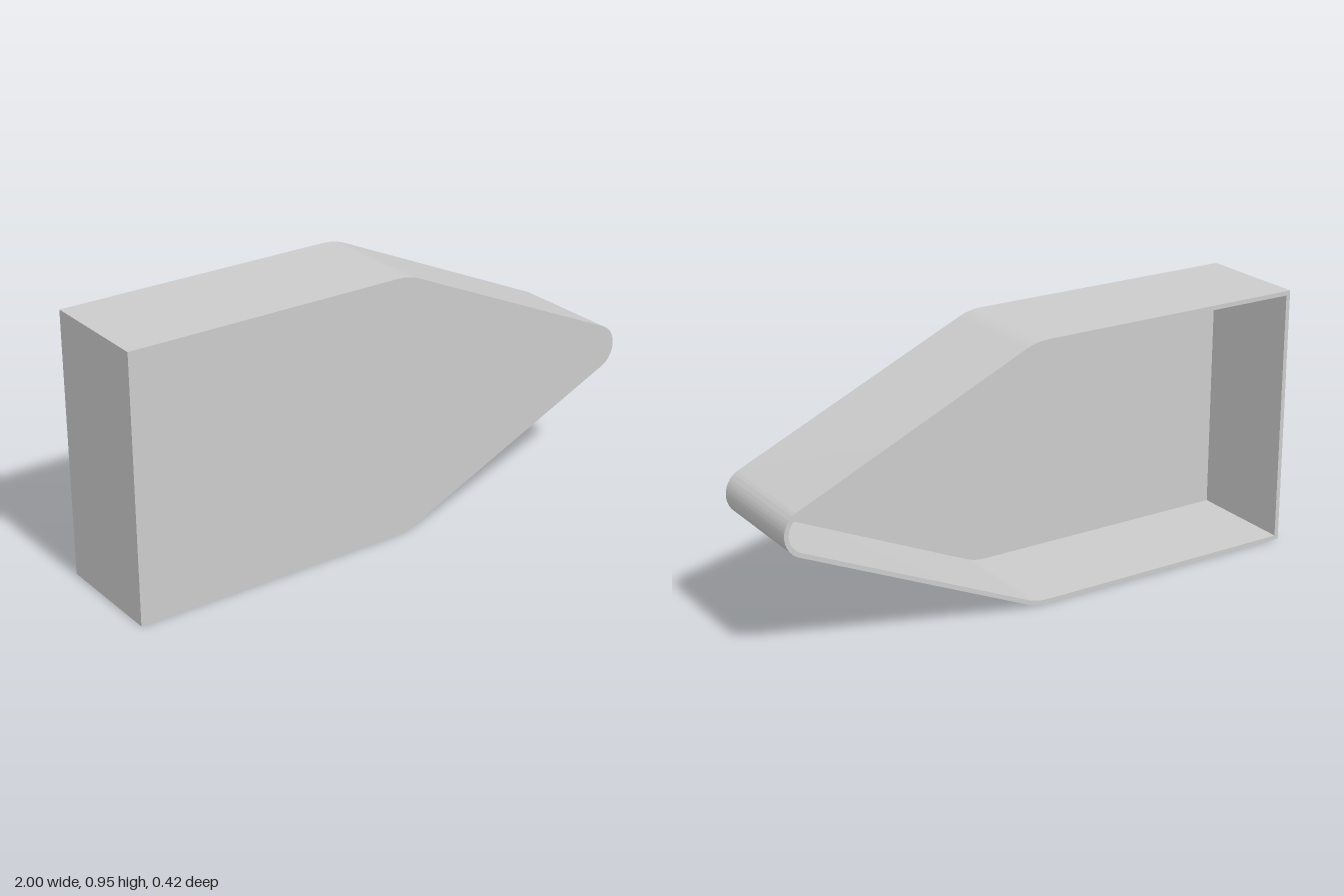
import * as THREE from 'three';
import { toCreasedNormals } from 'three/addons/utils/BufferGeometryUtils.js';

const HEIGHT = 0.95, HALF_DEPTH = 0.21, WALL = 0.016;
const SHOULDER_R = 0.22, SHOULDER_X = 0.017, TIP_R = 0.085;

// Counter-clockwise outline of the pointed casing, moved inwards by inset
function outline(inset) {
  const tipX = 1 - TIP_R, dx = tipX - SHOULDER_X, dy = HEIGHT / 2 - SHOULDER_R;
  // Slope of the straight edge tangent to the shoulder and the tip
  const slope = Math.atan2(dy, dx) + Math.asin((SHOULDER_R - TIP_R) / Math.hypot(dx, dy));
  const q = Math.PI / 2;
  const points = [new THREE.Vector2(-1 + inset, inset)];
  const arc = (x, y, radius, from, to, steps) => {
    for (let i = 0; i <= steps; i++) {
      const a = from + (to - from) * i / steps;
      points.push(new THREE.Vector2(x + (radius - inset) * Math.cos(a), y + (radius - inset) * Math.sin(a)));
    }
  };
  arc(SHOULDER_X, SHOULDER_R, SHOULDER_R, -q, slope - q, 10);
  arc(tipX, HEIGHT / 2, TIP_R, slope - q, q - slope, 32);
  arc(SHOULDER_X, HEIGHT - SHOULDER_R, SHOULDER_R, q - slope, q, 10);
  points.push(new THREE.Vector2(-1 + inset, HEIGHT - inset));
  return points;
}

// Joins successive closed loops; a loop collapsed to its centre becomes a fan
function skin(loops) {
  const positions = [];
  const triangle = (a, b, c) => {
    for (const p of [a, b, c]) positions.push(p.x, p.y, p.z);
  };
  for (let k = 0; k < loops.length - 1; k++) {
    const near = loops[k], far = loops[k + 1], n = near.length;
    for (let i = 0; i < n; i++) {
      const j = (i + 1) % n;
      if (!far[i].equals(far[j])) triangle(near[i], far[i], far[j]);
      if (!near[i].equals(near[j])) triangle(near[i], far[j], near[j]);
    }
  }
  const geometry = new THREE.BufferGeometry();
  geometry.setAttribute('position', new THREE.Float32BufferAttribute(positions, 3));
  return toCreasedNormals(geometry, 0.6);
}

export function createModel() {
  const outer = outline(0), inner = outline(WALL);
  const centre = outer.map(() => new THREE.Vector2(-0.1, HEIGHT / 2));
  const at = (points, z) => points.map(p => new THREE.Vector3(p.x, p.y, z));

  // Front panel, outer wall, back rim, inner wall and recessed floor
  const geometry = skin([
    at(centre, HALF_DEPTH),
    at(outer, HALF_DEPTH),
    at(outer, -HALF_DEPTH),
    at(inner, -HALF_DEPTH),
    at(inner, HALF_DEPTH - WALL),
    at(centre, HALF_DEPTH - WALL),
  ]);
  const shell = new THREE.Mesh(geometry, new THREE.MeshStandardMaterial({ color: 0xcccccc }));
  shell.name = 'openBackShell';

  const model = new THREE.Group();
  model.name = 'pointedCasing';
  model.add(shell);
  return model;
}
